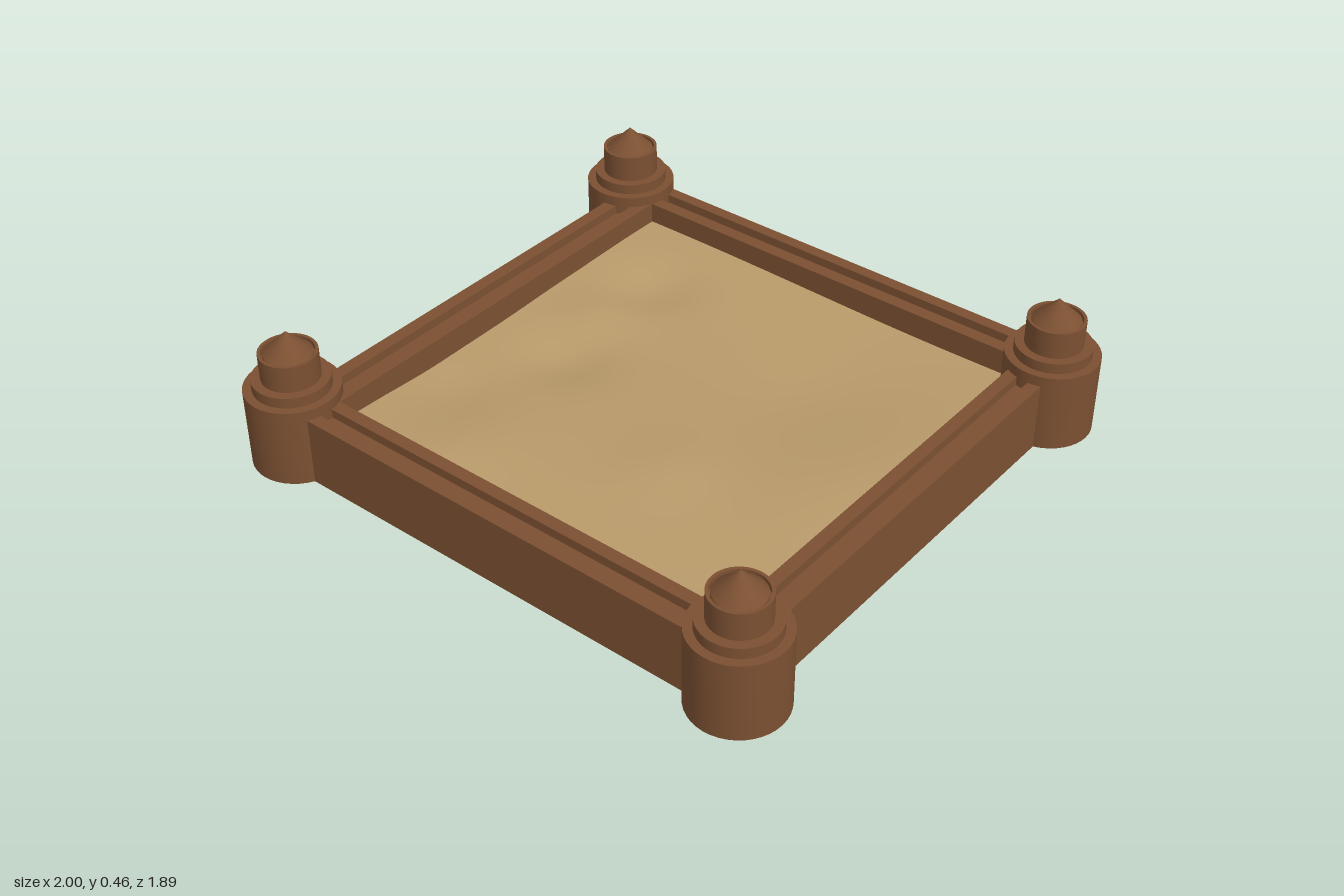
import * as THREE from 'three';
import { toCreasedNormals } from 'three/addons/utils/BufferGeometryUtils.js';

export function createModel() {
  const group = new THREE.Group();
  const wood = new THREE.MeshStandardMaterial({ color: 0x7b5032 });
  wood.name = 'brown wood';
  const sandMat = new THREE.MeshStandardMaterial({ color: 0xb89a6a });
  sandMat.name = 'sand';

  const add = (parent, name, geometry, material) => {
    const mesh = new THREE.Mesh(geometry, material);
    mesh.name = name;
    parent.add(mesh);
    return mesh;
  };
  // box given by its limits on each axis
  const block = (parent, name, x0, x1, y0, y1, z0, z1) =>
    add(parent, name, new THREE.BoxGeometry(x1 - x0, y1 - y0, z1 - z0), wood)
      .position.set((x0 + x1) / 2, (y0 + y1) / 2, (z0 + z1) / 2);

  // tray floor
  block(group, 'floor', -0.845, 0.895, 0, 0.02, -0.87, 0.865);

  // walls: a core with two raised lips that leave a groove along the top
  const wall = (name, x0, x1, z0, z1, alongX) => {
    const part = new THREE.Group();
    part.name = name;
    group.add(part);
    block(part, 'wallCore', x0, x1, 0, 0.2, z0, z1);
    const t = (alongX ? z1 - z0 : x1 - x0) / 3;
    for (const k of [0, 2]) {
      if (alongX) block(part, 'wallLip', x0, x1, 0.2, 0.23, z0 + k * t, z0 + (k + 1) * t);
      else block(part, 'wallLip', x0 + k * t, x0 + (k + 1) * t, 0.2, 0.23, z0, z1);
    }
  };
  wall('frontWall', -0.845, 0.895, 0.737, 0.865, true);
  wall('backWall', -0.845, 0.895, -0.87, -0.744, true);
  wall('rightWall', -0.845, -0.71, -0.744, 0.737, false);
  wall('leftWall', 0.77, 0.895, -0.744, 0.737, false);

  // stepped corner towers with a sunken cone roof
  const profile = [
    [0, 0], [0.15, 0], [0.15, 0.265], [0.122, 0.265], [0.122, 0.3], [0.092, 0.3],
    [0.092, 0.39], [0.082, 0.39], [0.082, 0.37], [0.077, 0.37], [0.077, 0.385], [0, 0.46],
  ].map(([r, y]) => new THREE.Vector2(r, y));
  const towerGeometry = toCreasedNormals(new THREE.LatheGeometry(profile, 40), 0.6);
  for (const x of [-0.85, 0.85]) {
    for (const z of [-0.797, 0.797]) {
      add(group, 'cornerTower', towerGeometry, wood).position.set(x, 0, z);
    }
  }

  // rolling sand: broad waves plus a few hollows and mounds [x, z, radius, height]
  const bumps = [
    [-0.45, -0.44, 0.13, -0.025], [-0.42, 0.05, 0.14, -0.028], [-0.5, -0.18, 0.14, 0.015],
    [-0.55, 0.38, 0.15, -0.015], [-0.35, 0.65, 0.16, 0.012], [0.2, 0.3, 0.15, 0.012],
    [0.35, -0.3, 0.25, -0.015], [0.7, 0.1, 0.3, 0.025],
  ];
  const height = (x, z) => {
    let y = 0.152 + 0.008 * Math.sin(3 * x + 4 * z);
    for (const [bx, bz, r, h] of bumps) {
      y += h * Math.exp(-((x - bx) ** 2 + (z - bz) ** 2) / (r * r));
    }
    return y;
  };
  const sand = new THREE.PlaneGeometry(1.49, 1.49, 48, 48);
  sand.rotateX(-Math.PI / 2);
  sand.translate(0.03, 0, -0.004);
  const p = sand.attributes.position;
  for (let i = 0; i < p.count; i++) p.setY(i, height(p.getX(i), p.getZ(i)));
  sand.computeVertexNormals();
  add(group, 'sand', sand, sandMat);

  return group;
}
